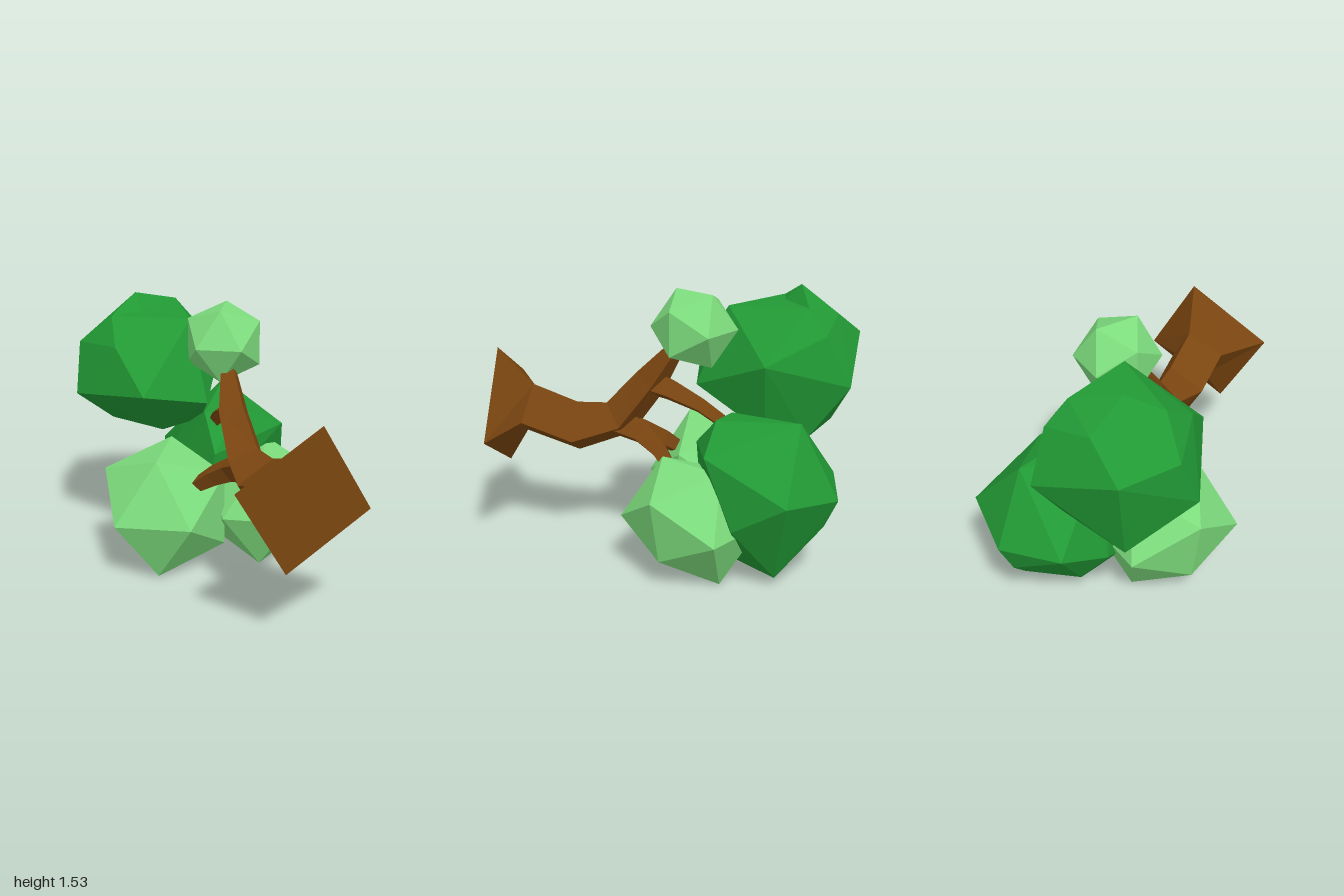
import * as THREE from 'three';
import { ConvexGeometry } from 'three/addons/geometries/ConvexGeometry.js';

const mat = (color) => new THREE.MeshStandardMaterial({ color, flatShading: true });
const V = (p) => new THREE.Vector3(p[0], p[1], p[2]);

// Square-section limb lofted along stations [x, y, z, half diagonal], running towards -z
function limb(stations) {
  const pts = stations.map(V);
  const last = pts.length - 1;
  const rings = pts.map((p, i) => {
    const dir = pts[Math.min(i + 1, last)].clone().sub(pts[Math.max(i - 1, 0)]).normalize();
    const q = new THREE.Quaternion().setFromUnitVectors(new THREE.Vector3(0, 0, -1), dir);
    return [0, 1, 2, 3].map((k) => {
      const a = 1.31 + (k * Math.PI) / 2;
      return new THREE.Vector3(Math.cos(a), Math.sin(a), 0)
        .multiplyScalar(stations[i][3]).applyQuaternion(q).add(p);
    });
  });
  const tris = [];
  const quad = (a, b, c, d) => tris.push(a, b, c, a, c, d);
  quad(...rings[0]);
  for (let i = 0; i < last; i++) {
    for (let k = 0; k < 4; k++) {
      const n = (k + 1) % 4;
      quad(rings[i][k], rings[i + 1][k], rings[i + 1][n], rings[i][n]);
    }
  }
  quad(...[...rings[last]].reverse());
  const g = new THREE.BufferGeometry().setFromPoints(tris);
  g.computeVertexNormals();
  return g;
}

// Faceted leaf cluster with one corner on the z axis; the corner facing `dent` is pulled in
function cluster(radius, depth, dent = [0, 0, 0]) {
  const g = new THREE.IcosahedronGeometry(1, 0);
  g.rotateX(Math.atan(2 / (1 + Math.sqrt(5))));
  g.rotateZ(-Math.PI / 2);
  const p = g.attributes.position;
  const v = new THREE.Vector3();
  for (let i = 0; i < p.count; i++) {
    v.fromBufferAttribute(p, i);
    if (v.dot(V(dent)) > 0.9) v.multiplyScalar(0.8);
    p.setXYZ(i, v.x * radius, v.y * radius, v.z * depth);
  }
  g.computeVertexNormals();
  return g;
}

const hull = (points) => new ConvexGeometry(points.map(V));

export function createModel() {
  const model = new THREE.Group();
  const bark = mat(0x7a4510);
  const darkLeaf = mat(0x229a35);
  const lightLeaf = mat(0x7ddc7d);
  const add = (name, geometry, material, pos = [0, 0, 0]) => {
    const mesh = new THREE.Mesh(geometry, material);
    mesh.name = name;
    mesh.position.set(...pos);
    model.add(mesh);
  };

  // Trunk with flared foot, and its branches
  add('trunk', limb([
    [0, 0.82, 0.985, 0.385], [0, 0.815, 0.83, 0.165], [0, 0.72, 0.55, 0.165],
    [0, 0.785, 0.31, 0.12], [0, 1.01, 0.13, 0.095], [0.035, 1.22, -0.02, 0.047],
  ]), bark);
  add('innerBranch', limb([
    [0, 1.01, 0.15, 0.08], [0.02, 0.97, 0.01, 0.07],
    [0.05, 0.9, -0.16, 0.05], [0.08, 0.83, -0.28, 0.045],
  ]), bark);
  add('leftBranch', limb([
    [0, 0.77, 0.34, 0.1], [0.02, 0.71, 0.18, 0.08], [0.07, 0.63, 0.07, 0.06], [0.11, 0.54, 0, 0.045],
  ]), bark);
  add('rightBranch', limb([
    [0, 0.76, 0.32, 0.09], [-0.04, 0.7, 0.18, 0.07], [-0.1, 0.64, 0.09, 0.06], [-0.17, 0.56, 0, 0.045],
  ]), bark);

  // Light leaf clusters
  add('rightLeaves', cluster(0.412, 0.4, [-0.72, -0.53, -0.45]), lightLeaf, [-0.28, 0.37, -0.21]);
  add('leftLeaves', cluster(0.378, 0.39, [0.72, -0.53, 0.45]), lightLeaf, [0.32, 0.33, -0.15]);
  add('smallLeaves', cluster(0.235, 0.24), lightLeaf, [0.05, 1.34, -0.12]);

  // Dark, irregular crown clusters
  add('upperCrown', hull([
    [0.2, 1.18, -0.52], [-0.66, 0.98, -0.62], [-0.19, 0.74, -0.47], [-0.41, 1.24, -1],
    [-0.05, 0.99, -0.12], [-0.05, 0.92, -0.24], [-0.44, 1.08, -0.09], [0.09, 1.06, -0.97],
    [-0.08, 1.44, -0.29], [-0.37, 0.72, -0.86], [-0.45, 1.43, -0.57], [-0.6, 1.26, -0.72],
    [0, 1.46, -0.73], [-0.2, 1.39, -0.88], [-0.5, 1.3, -0.37], [0.08, 1.33, -0.83],
    [0.05, 0.75, -0.75], [0.07, 0.76, -0.52],
  ]), darkLeaf);
  add('upperCrownPeak', hull([
    [-0.27, 1.53, -0.67], [-0.27, 1.44, -0.58], [-0.45, 1.43, -0.57], [-0.6, 1.26, -0.72],
    [0, 1.46, -0.73], [-0.2, 1.39, -0.88], [-0.41, 1.24, -1],
  ]), darkLeaf);
  add('lowerCrown', hull([
    [0.64, 0.57, -0.69], [0.31, 0.92, -0.73], [0.48, 0.76, -0.24], [0.22, 0.88, -0.27],
    [0.34, 0.51, -0.94], [-0.02, 0.53, -0.9], [0.4, 0.06, -0.62], [0.12, 0.02, -0.36],
    [-0.1, 0.2, -0.3], [-0.13, 0.37, -0.6], [0, 0.75, -0.6], [0, 0.67, -0.13],
    [0.02, 0.86, -0.33], [0, 0.4, -0.15], [0.55, 0.38, -0.4], [0.04, 0.15, -0.6],
    [0.3, 0.34, -0.87],
  ]), darkLeaf);

  return model;
}
